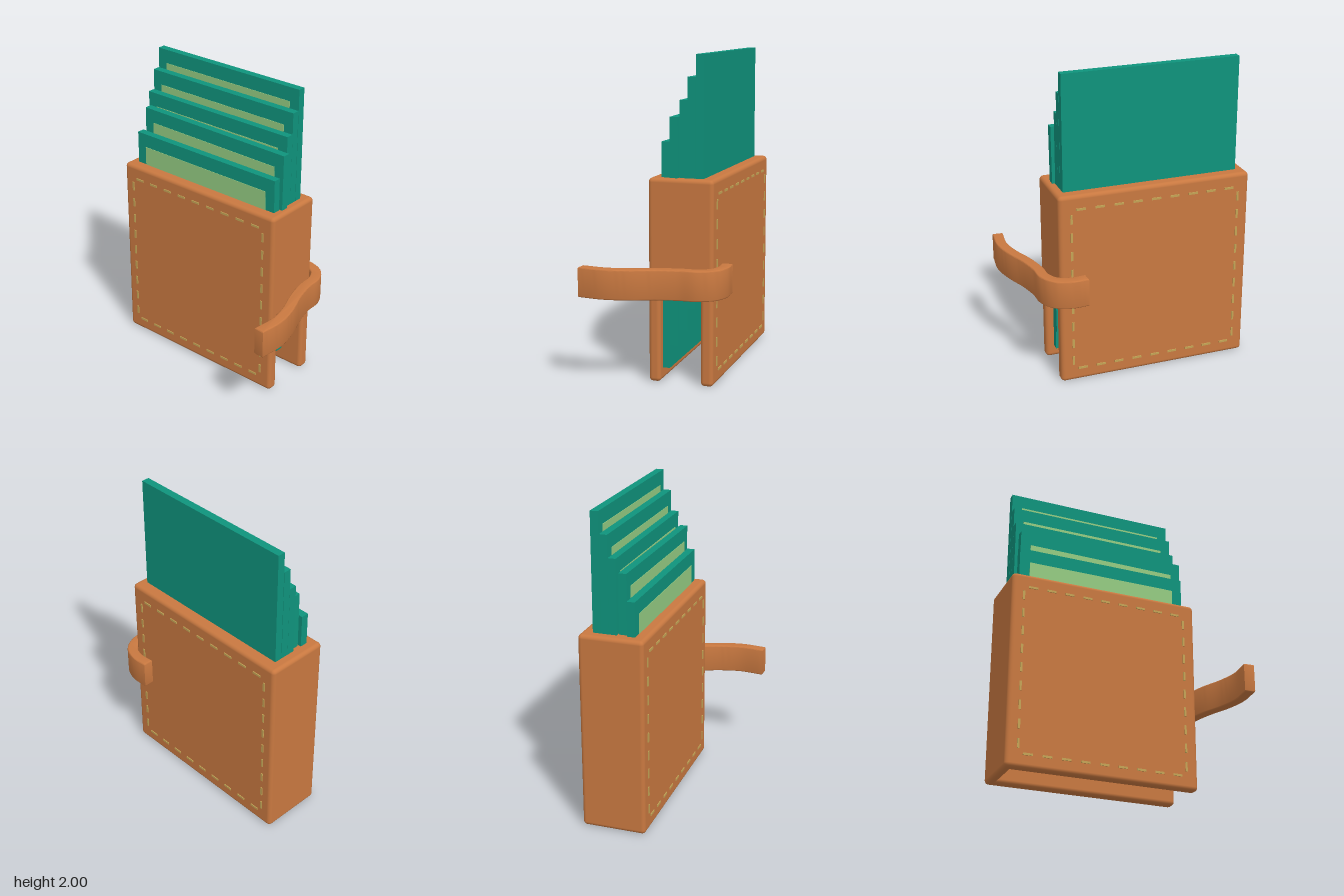
import * as THREE from 'three';
import { toCreasedNormals } from 'three/addons/utils/BufferGeometryUtils.js';
import { RoundedBoxGeometry } from 'three/addons/geometries/RoundedBoxGeometry.js';

const material = (name, color) => {
  const m = new THREE.MeshStandardMaterial({ color });
  m.name = name;
  return m;
};

export function createModel() {
  const leather = material('tan leather', 0xc87840);
  const cardGreen = material('card green', 0x0f937c);
  const labelGreen = material('label light green', 0x94cb82);
  const thread = material('stitch thread', 0xc4a456);
  const model = new THREE.Group();
  model.name = 'cardHolder';

  const add = (parent, name, geometry, mat) => {
    const mesh = new THREE.Mesh(geometry, mat);
    mesh.name = name;
    parent.add(mesh);
    return mesh;
  };

  // Leather case: given by its extents, open at the bottom and lower +x side
  const caseGroup = new THREE.Group();
  caseGroup.name = 'case';
  model.add(caseGroup);
  const block = (name, x0, x1, y0, y1, z0, z1) => {
    const g = new RoundedBoxGeometry(x1 - x0, y1 - y0, z1 - z0, 3, 0.025);
    g.translate((x0 + x1) / 2, (y0 + y1) / 2, (z0 + z1) / 2);
    add(caseGroup, name, g, leather);
  };
  block('frontPanel', -0.745, 0.505, 0, 1.265, -0.015, 0.06);
  block('backPanel', -0.745, 0.505, 0, 1.265, -0.35, -0.27);
  block('sideWall', -0.745, -0.685, 0, 1.265, -0.35, 0.06);
  block('upperBody', -0.745, 0.505, 0.545, 1.265, -0.35, 0.06);

  // Stepped cards, each with a pale label on its front
  const cardHeight = 1.4;
  [[1.48, -0.035], [1.635, -0.092], [1.73, -0.148], [1.867, -0.198], [2.0, -0.25]].forEach(([top, z], i) => {
    const card = new THREE.Group();
    card.name = `card${i + 1}`;
    card.position.set(i === 1 ? -0.1 : -0.115, top - cardHeight / 2, z);
    if (i === 1) card.rotation.z = -0.008;
    add(card, 'cardBody', new THREE.BoxGeometry(1.135, cardHeight, 0.049), cardGreen);
    const label = add(card, 'cardLabel', new THREE.BoxGeometry(1.0, cardHeight - 0.18, 0.004), labelGreen);
    label.position.z = 0.0255;
    model.add(card);
  });

  // Dashed stitching around the front and back panels
  const left = -0.67, right = 0.425, low = 0.085, high = 1.175;
  const dash = 0.06, width = 0.014;
  const stitch = (group, x, y, z, horizontal) => {
    const g = new THREE.BoxGeometry(horizontal ? dash : width, horizontal ? width : dash, 0.008);
    add(group, 'stitch', g, thread).position.set(x, y, z);
  };
  for (const [name, z] of [['frontStitching', 0.061], ['backStitching', -0.351]]) {
    const group = new THREE.Group();
    group.name = name;
    model.add(group);
    const count = 9;
    for (let i = 0; i < count; i++) {
      const t = (i + 0.5) / count;
      for (const y of [low, high]) stitch(group, left + t * (right - left), y, z, true);
      for (const x of [left, right]) stitch(group, x, low + t * (high - low), z, false);
    }
  }

  // Closing strap: a curved band of even thickness, extruded upwards
  const path = new THREE.CatmullRomCurve3([
    [0.35, -0.392], [0.45, -0.395], [0.535, -0.36], [0.583, -0.28], [0.592, -0.17],
    [0.625, -0.03], [0.68, 0.12], [0.708, 0.26], [0.695, 0.415],
  ].map(([x, z]) => new THREE.Vector3(x, -z, 0)));
  const inner = [], outer = [], steps = 48, half = 0.026, bevel = 0.008;
  for (let i = 0; i <= steps; i++) {
    const p = path.getPointAt(i / steps), t = path.getTangentAt(i / steps);
    outer.push(new THREE.Vector2(p.x - t.y * half, p.y + t.x * half));
    inner.push(new THREE.Vector2(p.x + t.y * half, p.y - t.x * half));
  }
  const strap = new THREE.ExtrudeGeometry(new THREE.Shape([...inner, ...outer.reverse()]), {
    depth: 0.185 - 2 * bevel, bevelSize: bevel, bevelThickness: bevel, bevelSegments: 3,
  });
  strap.rotateX(-Math.PI / 2);
  strap.translate(0, 0.555 + bevel, 0);
  add(model, 'strap', toCreasedNormals(strap, 0.7), leather);

  return model;
}
